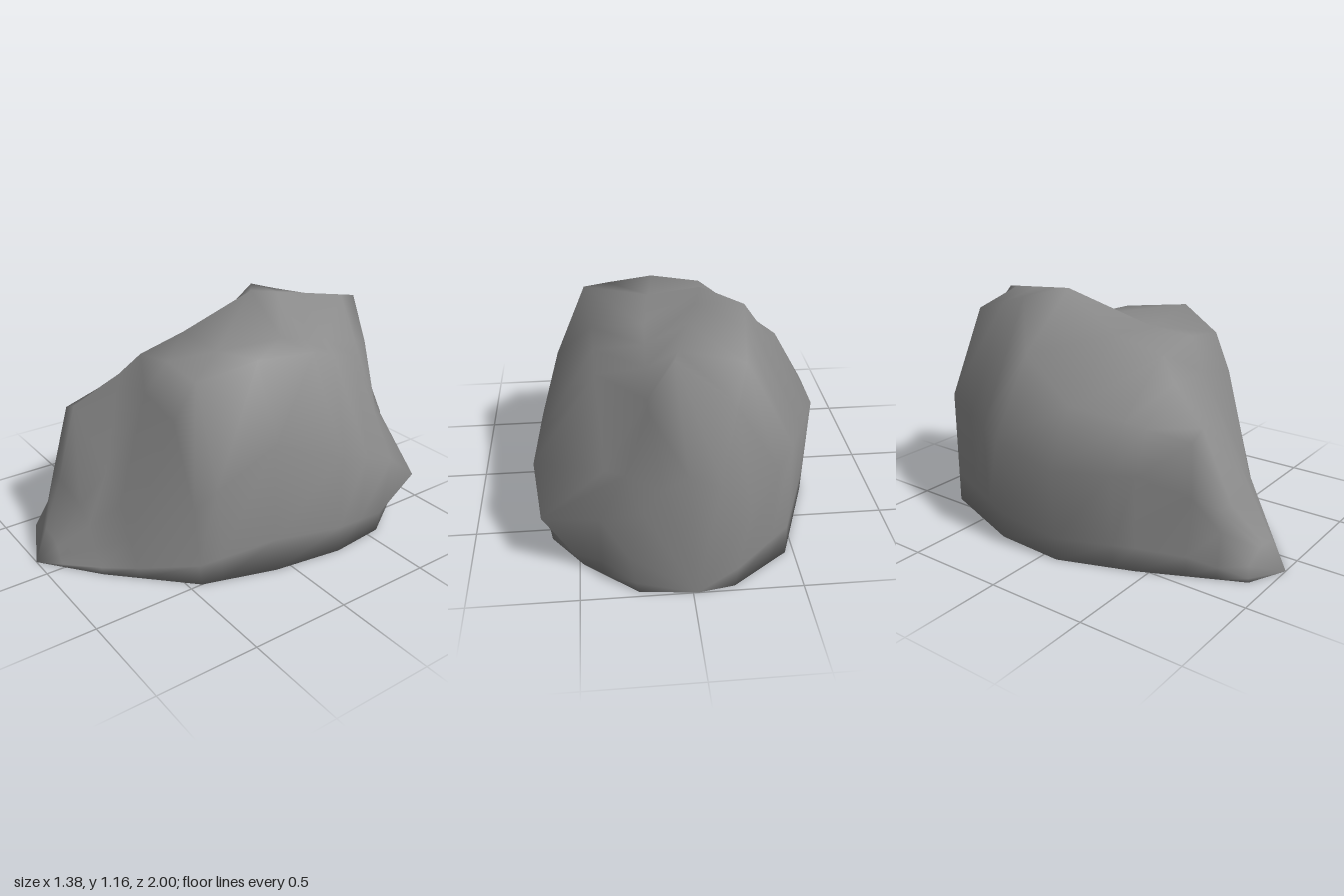
import * as THREE from 'three';
import { mergeVertices } from 'three/addons/utils/BufferGeometryUtils.js';

// Every rail runs from the front toe to the foot of the back wall
const TOE = new THREE.Vector3(-0.12, 0, 1);
const BACK = new THREE.Vector3(-0.02, 0, -1);
const v = (x, y, z) => new THREE.Vector3(x, y, z);
const rail = (...points) => [TOE, ...points, BACK];

// Depths of the cross-sections
const DEPTHS = [1, 0.91, 0.78, 0.65, 0.44, 0.34, 0.08, -0.28, -0.42, -0.57, -0.77, -0.84, -0.97, -1];

// Point on a rail at depth z
function pointAt(points, z) {
  const i = Math.max(1, points.findIndex((p) => p.z <= z));
  const a = points[i - 1], b = points[i];
  return a.clone().lerp(b, (a.z - z) / (a.z - b.z));
}

// Smooth skin through rows of points
function buildSkin(rows) {
  const cols = rows[0].length;
  const index = [];
  for (let i = 0; i < rows.length - 1; i++) {
    for (let j = 0; j < cols - 1; j++) {
      const a = i * cols + j, b = a + 1, c = a + cols, d = c + 1;
      index.push(a, b, c, b, d, c);
    }
  }
  const geometry = new THREE.BufferGeometry().setFromPoints(rows.flat());
  geometry.setIndex(index);
  const merged = mergeVertices(geometry, 1e-4);
  merged.computeVertexNormals();
  return merged;
}

export function createModel() {
  const group = new THREE.Group();
  group.name = 'boulder';

  // Bulging -x wall and its foot
  const baseL = rail(v(-0.31, 0, 0.91), v(-0.53, 0, 0.44), v(-0.66, 0, 0.08),
    v(-0.64, 0, -0.28), v(-0.46, 0, -0.77), v(-0.19, 0, -0.97));
  const wallL = rail(v(-0.31, 0.08, 0.91), v(-0.39, 0.37, 0.65), v(-0.53, 0.47, 0.44), v(-0.69, 0.46, 0.08),
    v(-0.66, 0.52, -0.28), v(-0.46, 0.6, -0.77), v(-0.25, 0.4, -0.97));

  // -x shoulder
  const shoulderL = rail(v(-0.34, 0.32, 0.78), v(-0.4, 0.64, 0.65), v(-0.54, 0.73, 0.08),
    v(-0.43, 0.89, -0.28), v(-0.28, 1.13, -0.42), v(-0.24, 1.02, -0.77), v(-0.12, 0.55, -0.97));

  // Main crest up to the high peak
  const crest = rail(v(-0.26, 0.33, 0.78), v(-0.31, 0.68, 0.65), v(-0.22, 0.83, 0.44), v(-0.17, 0.93, 0.34),
    v(-0.18, 0.99, 0.08), v(-0.1, 1.16, -0.28), v(0.07, 1.08, -0.84), v(0.02, 0.6, -0.97));

  // Dip between the two peaks
  const valley = rail(v(0, 0.45, 0.65), v(0.03, 0.82, 0.44), v(0.08, 0.97, 0.34),
    v(0.16, 0.98, -0.28), v(0.18, 0.85, -0.84), v(0.13, 0.54, -0.97));

  // Lower peak on the +x side
  const shoulderR = rail(v(0.13, 0.33, 0.65), v(0.28, 0.76, 0.44), v(0.31, 0.94, 0.34), v(0.43, 1.03, 0.08),
    v(0.4, 0.98, -0.28), v(0.39, 0.89, -0.57), v(0.37, 0.52, -0.77), v(0.28, 0.54, -0.84), v(0.21, 0.42, -0.97));

  // +x wall with the low bump near the back corner, and its foot
  const wallR = rail(v(0.2, 0.17, 0.65), v(0.44, 0.38, 0.44), v(0.58, 0.67, 0.08),
    v(0.65, 0.53, -0.28), v(0.69, 0.44, -0.57), v(0.66, 0.28, -0.77), v(0.4, 0.31, -0.84), v(0.28, 0.2, -0.97));
  const baseR = rail(v(0.16, 0, 0.78), v(0.5, 0, 0.44), v(0.61, 0, 0.08),
    v(0.66, 0, -0.28), v(0.63, 0, -0.57), v(0.48, 0, -0.77), v(0.24, 0, -0.97));

  // Closed cross-sections: up one wall, over the top, down the other and back under
  const rows = DEPTHS.map((z) => {
    const at = (r) => pointAt(r, z);
    const skirt = (base, wall) => at(base).lerp(at(wall), 0.25);
    return [
      at(baseL), skirt(baseL, wallL), at(wallL), at(shoulderL), at(crest), at(valley),
      at(shoulderR), at(wallR), skirt(baseR, wallR), at(baseR), at(baseL),
    ];
  });

  const body = new THREE.Mesh(buildSkin(rows), new THREE.MeshStandardMaterial({ color: 0x8a8a8a }));
  body.name = 'rockBody';
  group.add(body);
  return group;
}
